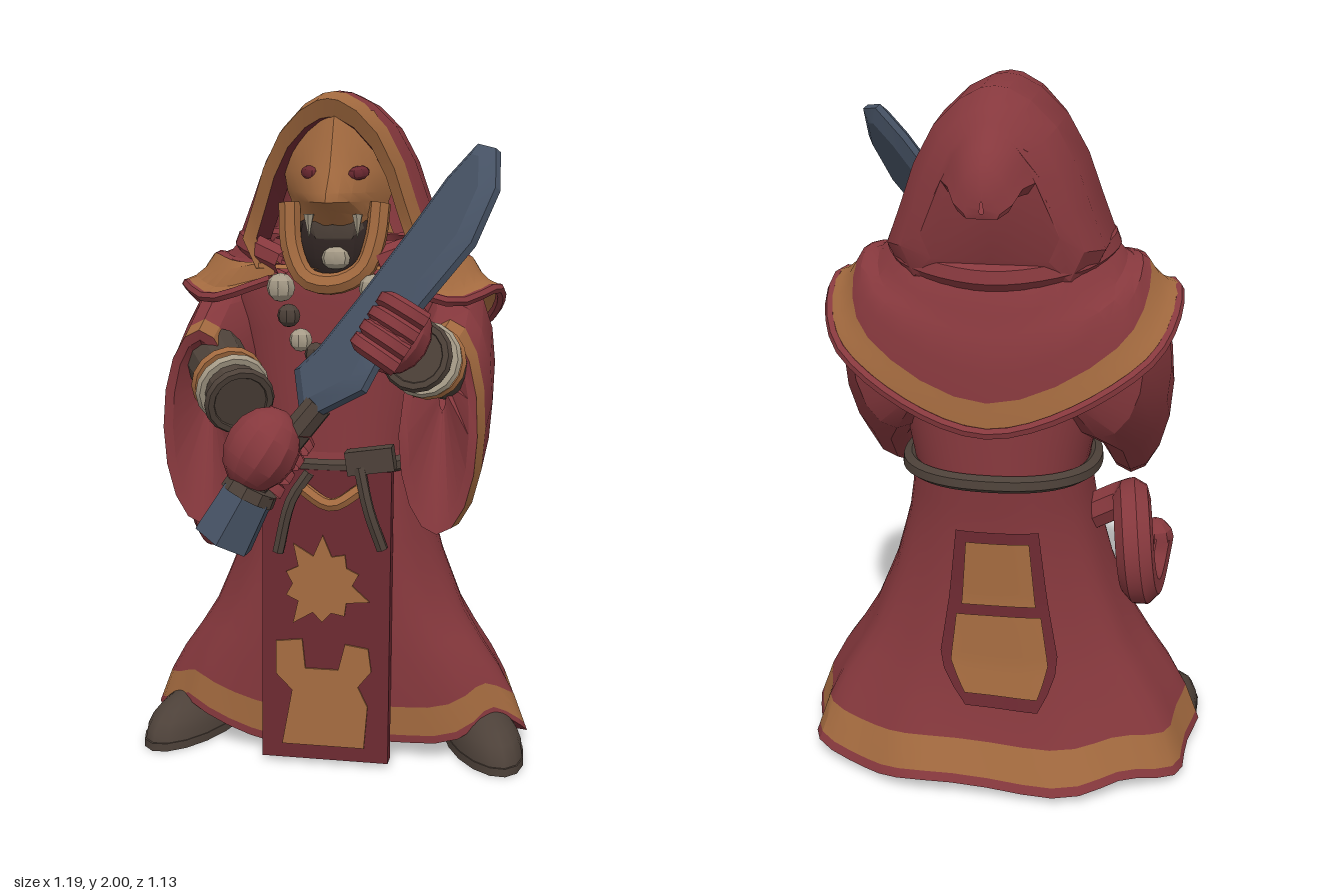
import * as THREE from 'three';
import { toCreasedNormals } from 'three/addons/utils/BufferGeometryUtils.js';
import { ParametricGeometry } from 'three/addons/geometries/ParametricGeometry.js';

const V = (x, y, z) => new THREE.Vector3(x, y, z);
const paint = (name, color) => new THREE.MeshStandardMaterial({ name, color, side: THREE.DoubleSide });
const red = paint('robe red', 0x86383d), deep = paint('deep red', 0x6c2931), gold = paint('ochre trim', 0xa36a3f),
  brown = paint('dark leather', 0x4d4139), steel = paint('blue steel', 0x465264), bone = paint('bone', 0xa79c88),
  dark = paint('mouth dark', 0x302523);

function add(parent, name, geo, mat, pos = [0, 0, 0], rot = [0, 0, 0], scale = [1, 1, 1]) {
  const m = new THREE.Mesh(toCreasedNormals(geo, 0.5), mat);
  m.name = name;
  m.position.set(...pos); m.rotation.set(...rot); m.scale.set(...scale);
  parent.add(m);
  return m;
}
function addGroup(parent, name) {
  const g = new THREE.Group();
  g.name = name;
  parent.add(g);
  return g;
}
const grid = (fn, nu, nv) => new ParametricGeometry((u, v, t) => t.set(...fn(u, v)), nu, nv);
const tube = (pts, r, n = 24, sides = 7, closed = false) =>
  new THREE.TubeGeometry(new THREE.CatmullRomCurve3(pts.map(p => V(...p)), closed), n, r, sides, closed);
const ball = (w = 12, h = 8) => new THREE.SphereGeometry(1, w, h);
function rod(parent, name, a, b, r1, r2, mat, sides = 10) {
  const p = V(...a), q = V(...b), d = q.clone().sub(p);
  const m = add(parent, name, new THREE.CylinderGeometry(r2, r1, d.length(), sides), mat, p.add(q).multiplyScalar(0.5).toArray());
  m.quaternion.setFromUnitVectors(V(0, 1, 0), d.normalize());
}
const outline = (pts, depth) => new THREE.ExtrudeGeometry(
  new THREE.Shape(pts.map(p => new THREE.Vector2(...p))), { depth, bevelEnabled: false });
// Linear blend through a table of section rows, t from 0 to 1
function rowAt(rows, t) {
  const s = Math.min(t, 1) * (rows.length - 1), i = Math.min(Math.floor(s), rows.length - 2);
  return rows[i].map((c, k) => c + (rows[i + 1][k] - c) * (s - i));
}

// Robe sections: height, half width, front depth, back depth
const robeRows = [[0.04, 0.585, 0.25, 0.38], [0.2, 0.53, 0.26, 0.31], [0.4, 0.4, 0.27, 0.27], [0.6, 0.32, 0.27, 0.25],
  [0.8, 0.265, 0.27, 0.245], [0.95, 0.25, 0.23, 0.26], [1.2, 0.3, 0.22, 0.25], [1.45, 0.33, 0.22, 0.22], [1.57, 0.2, 0.2, 0.2]];
function robePoint(a, y, off = 0) {
  let i = 0;
  while (i < robeRows.length - 2 && y > robeRows[i + 1][0]) i++;
  const A = robeRows[i], B = robeRows[i + 1], t = (y - A[0]) / (B[0] - A[0]);
  const [, rx, rf, rb] = A.map((c, k) => c + (B[k] - c) * t);
  const s = Math.sin(a), c = Math.cos(a), low = Math.max(0, 1 - y / 0.9), pow = n => Math.sign(n) * Math.abs(n) ** 0.85;
  const fold = 1 + 0.03 * low * Math.sin(9 * a + 1.5), front = Math.acos(c);
  const lift = Math.max(0, 1 - y / 0.5) * (0.09 * Math.exp(-(((front - 0.95) / 0.35) ** 2)) + 0.015 * Math.sin(7 * a));
  return [(rx + off) * pow(s) * fold, y + lift, -0.18 + ((c > 0 ? rf : rb) + off) * pow(c) * fold];
}
function buildRobe(root) {
  const robe = addGroup(root, 'robe');
  for (const [name, y0, y1, n, mat] of [['hemEdge', 0.04, 0.065, 1, red], ['hemTrim', 0.065, 0.16, 2, gold],
    ['skirt', 0.16, 0.95, 9, red], ['torso', 0.95, 1.57, 7, red]])
    add(robe, name, grid((u, v) => robePoint(u * Math.PI * 2, y0 + (y1 - y0) * v), 48, n), mat);
  add(robe, 'underside', grid((u, v) => {
    const p = robePoint(-u * Math.PI * 2, 0.04);
    return [p[0] * v, 0.09 + (p[1] - 0.09) * v, -0.18 + (p[2] + 0.18) * v];
  }, 48, 2), deep);

  // Front tabard with its emblems
  const tabard = addGroup(robe, 'tabard');
  tabard.position.set(0, 0.46, 0.09); tabard.rotation.x = -0.045;
  add(tabard, 'tabardPanel', new THREE.BoxGeometry(0.385, 0.89, 0.05), deep);
  const star = [];
  for (let i = 0; i < 20; i++) {
    const a = i * Math.PI / 10, r = i % 2 ? 0.09 : 0.115 + 0.035 * (i % 3 === 0);
    star.push([r * Math.sin(a), 0.1 + r * Math.cos(a)]);
  }
  add(tabard, 'starEmblem', outline(star, 0.008), gold, [-0.01, 0, 0.024]);
  add(tabard, 'lowerEmblem', outline([[-0.13, -0.4], [0.12, -0.4], [0.13, -0.27], [0.1, -0.21], [0.14, -0.16], [0.13, -0.09],
    [0.06, -0.08], [0.04, -0.16], [-0.06, -0.16], [-0.07, -0.07], [-0.15, -0.08], [-0.15, -0.18], [-0.1, -0.23]], 0.008), gold, [0, 0, 0.024]);

  // Back patch follows the skirt
  const patch = (w, y0, y1, off) => grid((u, v) => {
    const y = y0 + (y1 - y0) * v, k = w * Math.min(1, 0.45 + (y - 0.27) * 4);
    return robePoint(Math.PI + 0.06 + (u - 0.5) * k, y, off);
  }, 6, 10);
  add(robe, 'backPatchBorder', patch(0.7, 0.27, 0.8, 0.02), deep);
  add(robe, 'backPatchLower', patch(0.54, 0.31, 0.55, 0.026), gold);
  add(robe, 'backPatchUpper', patch(0.48, 0.58, 0.77, 0.026), gold);

  // Belt, knot and hanging cords
  const loop = [];
  for (let i = 0; i < 20; i++) loop.push(robePoint(i * Math.PI / 10, 0.93 - 0.02 * Math.cos(i * Math.PI / 10), 0.012));
  add(robe, 'belt', tube(loop, 0.024, 48, 6, true), brown);
  add(robe, 'beltKnot', new THREE.BoxGeometry(0.14, 0.07, 0.06), brown, [0.13, 0.94, 0.09], [0, 0, 0.15]);
  add(robe, 'cord', tube([[-0.05, 0.9, 0.11], [-0.1, 0.82, 0.13], [-0.14, 0.66, 0.13]], 0.018, 8, 6), brown);
  add(robe, 'cord', tube([[0.1, 0.92, 0.11], [0.13, 0.8, 0.13], [0.17, 0.68, 0.12]], 0.018, 8, 6), brown);
  add(robe, 'sash', tube([[-0.08, 0.86, 0.11], [0.02, 0.81, 0.13], [0.11, 0.86, 0.11]], 0.02, 10, 6), gold);
}

// Shoulder mantle between a neck curve and a drooping outer curve
function buildMantle(root) {
  const g = addGroup(root, 'mantle');
  const full = half => [...half, ...half.slice(0, -1).reverse().map(([x, y, z]) => [-x, y, z])];
  const inner = full([[0.13, 1.51, 0.05], [0.24, 1.55, -0.02], [0.28, 1.56, -0.18], [0.2, 1.54, -0.36], [0, 1.52, -0.42]]);
  const outer = full([[0.17, 1.46, 0.06], [0.36, 1.4, 0.03], [0.475, 1.43, -0.12], [0.41, 1.29, -0.39], [0, 1.12, -0.51]]);
  const [ci, co] = [inner, outer].map(pts => new THREE.CatmullRomCurve3(pts.map(p => V(...p))));
  const at = (u, v) => {
    const p = ci.getPoint(u).lerp(co.getPoint(u), v), b = Math.sin(v * Math.PI);
    return [p.x, p.y + 0.025 * b + 0.012 * Math.sin(v * 14), p.z - 0.02 * b * Math.sin(u * Math.PI)];
  };
  const seam = u => 0.4 + 0.4 * Math.sin(u * Math.PI) ** 2;
  add(g, 'mantleCloth', grid((u, v) => at(u, v * seam(u)), 36, 6), red);
  add(g, 'mantleTrim', grid((u, v) => at(u, seam(u) + v * (1 - seam(u))), 36, 3), gold);
  add(g, 'mantleRim', tube(outer, 0.016, 40, 6), red);
  add(g, 'collarRoll', tube(inner, 0.04, 36, 7), red);
}

// Hood sections run front to back: z, half width, bottom, top
function buildHood(root) {
  const g = addGroup(root, 'hood');
  const half = [[0, 0], [0.85, 0], [1, 0.18], [0.86, 0.4], [0.74, 0.6], [0.55, 0.8], [0.32, 0.93], [0.12, 0.99], [0, 1]];
  const arch = [...half, ...half.slice(1, -1).reverse().map(([x, y]) => [-x, y]), [0, 0]];
  const loft = (name, rows, mat) => add(g, name, grid((u, v) => {
    const [z, w, y0, y1] = rowAt(rows, v), [x, y] = rowAt(arch, u);
    return [w * x, y0 + (y1 - y0) * y, z + 0.03 * (y - 0.5) * (z > -0.1)];
  }, arch.length - 1, rows.length - 1), mat);
  loft('hoodLining', [[-0.12, 0.21, 1.5, 1.87], [0.04, 0.22, 1.5, 1.92]], deep);
  loft('hoodTrim', [[0.04, 0.22, 1.5, 1.92], [0.065, 0.255, 1.49, 1.97], [-0.05, 0.275, 1.49, 1.995]], gold);
  loft('hoodCloth', [[-0.05, 0.275, 1.49, 1.995], [-0.13, 0.305, 1.49, 2], [-0.33, 0.29, 1.49, 1.995], [-0.4, 0.24, 1.51, 1.955],
    [-0.435, 0.18, 1.57, 1.92], [-0.455, 0.12, 1.75, 1.9], [-0.5, 0.095, 1.75, 1.87], [-0.535, 0.075, 1.72, 1.83],
    [-0.555, 0.045, 1.705, 1.78], [-0.56, 0.005, 1.72, 1.75]], red);
}

// Gaunt face with an open, toothed mouth
function buildFace(root) {
  const g = addGroup(root, 'face');
  const rows = [[1.94, 0.1, 0.05], [1.85, 0.155, 0.09], [1.77, 0.165, 0.13], [1.71, 0.155, 0.19], [1.685, 0.145, 0.2],
    [1.66, 0.145, 0.13], [1.62, 0.16, 0.08]];
  add(g, 'mask', grid((u, v) => {
    const [y, w, z] = rowAt(rows, 1 - v), s = u * 2 - 1;
    return [0.015 + w * s, y - 0.03 * Math.abs(s) * (v < 0.2), -0.04 + (z + 0.04) * (1 - Math.abs(s) ** 1.3)];
  }, 10, 6), gold);
  for (const s of [-1, 1]) {
    add(g, 'eye', ball(8, 6), deep, [0.02 + s * 0.07, 1.765, 0.077], [0, s * 0.7, s * 0.15], [0.036, 0.02, 0.02]);
    add(g, 'fang', new THREE.ConeGeometry(0.016, 0.07, 6), bone, [0.02 + s * 0.07, 1.615, 0.1], [Math.PI, 0, 0]);
  }
  add(g, 'mouth', ball(), dark, [0.015, 1.57, 0.01], [0, 0, 0], [0.12, 0.13, 0.06]);
  add(g, 'palate', ball(8, 6), brown, [0.015, 1.61, 0.045], [0, 0, 0], [0.085, 0.06, 0.03]);
  add(g, 'tongue', ball(8, 6), bone, [0.02, 1.525, 0.055], [0, 0, 0], [0.045, 0.035, 0.03]);
  add(g, 'jaw', tube([[-0.12, 1.68, 0.035], [-0.11, 1.55, 0.05], [-0.065, 1.465, 0.065], [0.02, 1.45, 0.07],
    [0.1, 1.49, 0.065], [0.135, 1.58, 0.05], [0.145, 1.68, 0.035]], 0.032, 20, 7), gold);
}

// Wide drooping sleeve, bracer and bangles; s is the side, lean pulls the cuff top back
function buildArm(root, s, lean, elbow, wrist) {
  const g = addGroup(root, s > 0 ? 'leftArm' : 'rightArm');
  const loft = (name, rows, mat) => add(g, name, grid((u, v) => {
    const [z, cx, y0, y1, w] = rowAt(rows, v), a = u * Math.PI * 2 * s, c = Math.cos(a);
    return [s * (cx + w * Math.sin(a)), (y0 + y1) / 2 + (y1 - y0) / 2 * c, z - (z > 0.1 ? lean * Math.max(0, c) : 0)];
  }, 16, rows.length - 1), mat);
  loft('sleeve', [[-0.4, 0.22, 1.15, 1.42, 0.04], [-0.33, 0.28, 1.05, 1.49, 0.12], [-0.15, 0.34, 0.94, 1.47, 0.13],
    [0, 0.355, 0.82, 1.4, 0.12], [0.14, 0.35, 0.75, 1.35, 0.115]], red);
  loft('cuffTrim', [[0.14, 0.35, 0.75, 1.35, 0.115], [0.24, 0.34, 0.765, 1.33, 0.11]], gold);
  loft('cuffLining', [[0.24, 0.34, 0.765, 1.33, 0.11], [0.23, 0.34, 0.8, 1.3, 0.085], [0.12, 0.34, 1.1, 1.2, 0.01]], red);
  rod(g, 'bracer', elbow, wrist, 0.09, 0.08, brown, 12);
  const a = V(...elbow), b = V(...wrist), dir = b.clone().sub(a).normalize();
  [[0.55, 0.09, gold], [0.72, 0.09, bone], [0.97, 0.084, brown]].forEach(([t, r, mat]) => {
    const m = add(g, 'bangle', new THREE.TorusGeometry(r, 0.016, 6, 16), mat, a.clone().lerp(b, t).toArray());
    m.quaternion.setFromUnitVectors(V(0, 0, 1), dir);
  });
}

// Broad cleaver held across the chest, with both fists
function buildKnife(root) {
  const along = V(0.516, 0.833, -0.198).normalize();
  const across = along.clone().cross(V(-0.55, 0.5, 0.58)).normalize();
  const turn = new THREE.Quaternion().setFromRotationMatrix(
    new THREE.Matrix4().makeBasis(across, along, across.clone().cross(along)));
  const g = addGroup(root, 'knife');
  const shape = new THREE.Shape([[-0.025, -0.11], [0.13, 0.05], [0.12, 0.12], [0.14, 0.32], [0.18, 0.515], [0.14, 0.67],
    [0.05, 0.765], [-0.03, 0.76], [-0.065, 0.645], [-0.08, 0.48], [-0.11, 0.246], [-0.14, 0.08], [-0.18, -0.01]].map(p => new THREE.Vector2(...p)));
  const geo = new THREE.ExtrudeGeometry(shape, { depth: 0.02, bevelThickness: 0.022, bevelSize: 0.04, bevelOffset: -0.04, bevelSegments: 1 });
  add(g, 'blade', geo.translate(0, 0, -0.01), steel, [0.07, 1.2, 0.435]).quaternion.copy(turn);
  rod(g, 'handle', [0.04, 1.16, 0.43], [-0.17, 0.9, 0.47], 0.04, 0.045, brown, 8);
  rod(g, 'pommel', [-0.215, 0.79, 0.48], [-0.145, 0.92, 0.47], 0.088, 0.075, steel, 6);
  rod(g, 'pommelRing', [-0.15, 0.91, 0.47], [-0.135, 0.94, 0.465], 0.078, 0.074, brown, 10);
  // The right fist wraps from behind, the left from the front
  for (const [name, x, y, z, k, side] of [['rightFist', -0.11, 1.04, 0.46, 1.15, -1], ['leftFist', 0.25, 1.35, 0.44, 1, 1]]) {
    const fist = addGroup(g, name);
    fist.position.set(x, y, z); fist.quaternion.copy(turn); fist.scale.setScalar(k);
    add(fist, 'palm', ball(), red, [0, 0, 0], [0, 0, 0], [0.095, 0.105, 0.085]);
    for (let i = 0; i < 4; i++)
      add(fist, 'finger', tube([[0.085, -0.07 + i * 0.046, 0.01], [0.055, -0.068 + i * 0.045, 0.06],
        [-0.02, -0.066 + i * 0.044, 0.072], [-0.075, -0.06 + i * 0.04, 0.04]].map(([a, b, c]) => [a * side, b, c * side]), 0.025, 8, 6), red);
  }
}

export function createModel() {
  const root = new THREE.Group();
  root.name = 'hoodedCultist';
  buildRobe(root);
  buildMantle(root);
  buildHood(root);
  buildFace(root);
  buildArm(root, -1, 0, [-0.33, 1.24, 0.12], [-0.19, 1.15, 0.37]);
  buildArm(root, 1, 0.11, [0.34, 1.21, 0.06], [0.29, 1.29, 0.36]);
  buildKnife(root);

  // Bead necklace
  const beads = addGroup(root, 'necklace');
  for (const s of [-1, 1])
    [[0.135, 1.44, 0.09, 0.042], [0.11, 1.36, 0.1, 0.034], [0.075, 1.29, 0.1, 0.034], [0.03, 1.25, 0.1, 0.034]].forEach(([x, y, z, r], i) =>
      add(beads, 'bead', ball(8, 6), i % 2 ? brown : bone, [s * x, y, z], [0, 0, 0], [r, r, r]));

  // Tail curled beside the right hip
  const curl = [[-0.24, 0.76, -0.2]];
  for (let i = 0; i <= 12; i++) {
    const a = 1.1 + i * 0.42, r = 0.132 - i * 0.003;
    curl.push([-0.37 - i * 0.006, 0.715 + r * 1.05 * Math.sin(a), -0.29 + r * Math.cos(a)]);
  }
  add(root, 'tail', tube(curl, 0.054, 36, 8), red);
  add(root, 'tailTip', ball(8, 6), red, curl[13], [0, 0, 0], [0.054, 0.054, 0.054]);

  // Boots with flat soles
  for (const s of [-1, 1]) {
    const boot = addGroup(root, s > 0 ? 'leftBoot' : 'rightBoot');
    boot.position.set(s * 0.46, 0, -0.1); boot.rotation.y = s * 0.35;
    add(boot, 'bootUpper', new THREE.SphereGeometry(1, 16, 6, 0, Math.PI * 2, 0, Math.PI / 2), brown, [0, 0.02, 0], [0, 0, 0], [0.108, 0.12, 0.24]);
    add(boot, 'sole', new THREE.CylinderGeometry(1, 1, 0.025, 16), brown, [0, 0.0125, 0], [0, 0, 0], [0.11, 1, 0.245]);
  }
  return root;
}
